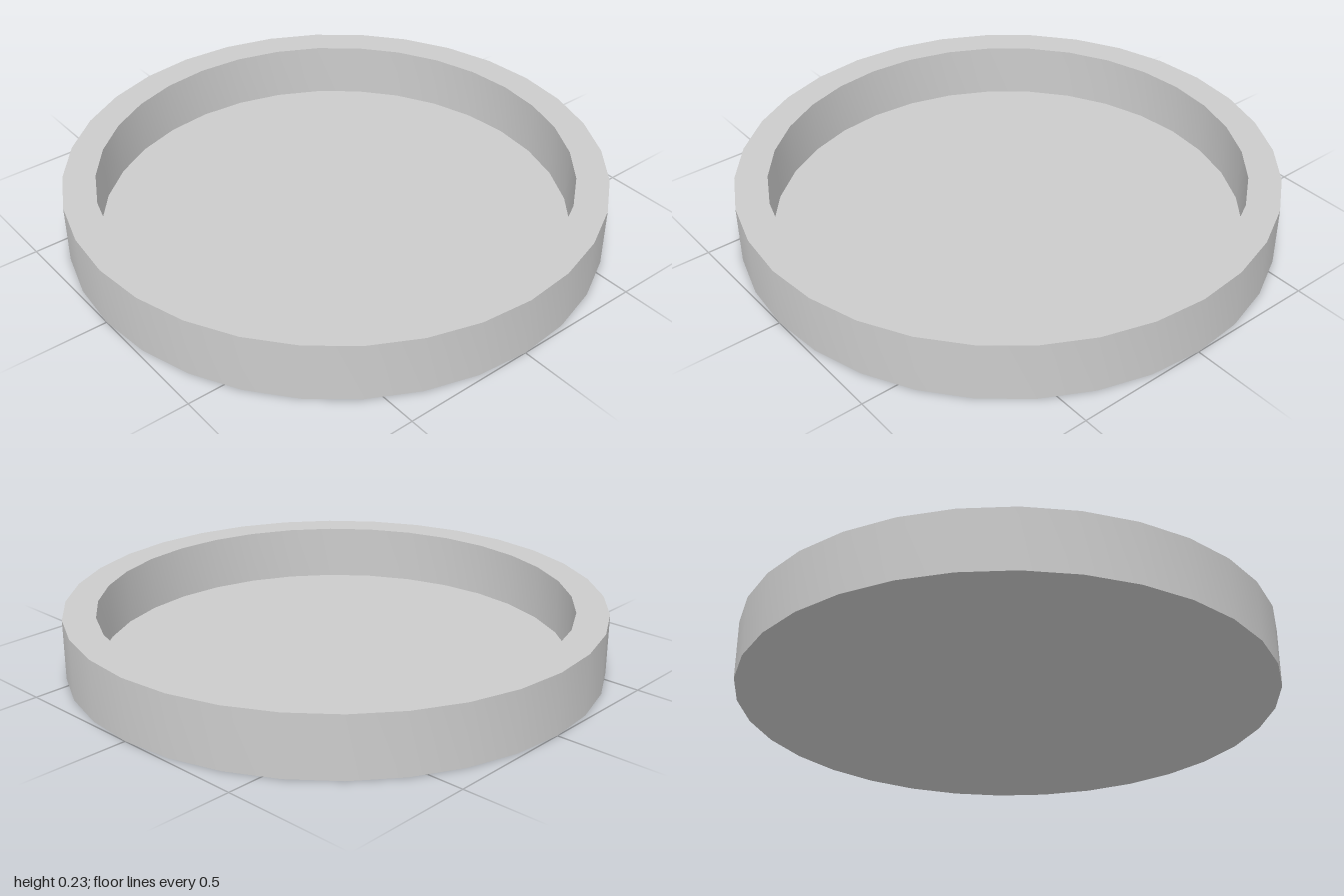
import * as THREE from 'three';
import { toCreasedNormals } from 'three/addons/utils/BufferGeometryUtils.js';

const SIDES = 32;
const OUTER = 1;
const INNER = 0.88;
const HEIGHT = 0.226;
const FLOOR = 0.014;

export function createModel() {
  const group = new THREE.Group();
  group.name = 'roundTray';

  // Closed profile: underside, outer wall, flat rim, inner wall, floor
  const profile = [
    [0, 0],
    [OUTER, 0],
    [OUTER, HEIGHT],
    [INNER, HEIGHT],
    [INNER, FLOOR],
    [0, FLOOR],
  ].map(([r, y]) => new THREE.Vector2(r, y));

  // Smooth around the walls, sharp at the rim and floor edges
  const geometry = toCreasedNormals(new THREE.LatheGeometry(profile, SIDES), Math.PI / 6);
  const tray = new THREE.Mesh(geometry, new THREE.MeshStandardMaterial({ color: 0xcccccc }));
  tray.name = 'tray';
  group.add(tray);

  return group;
}
